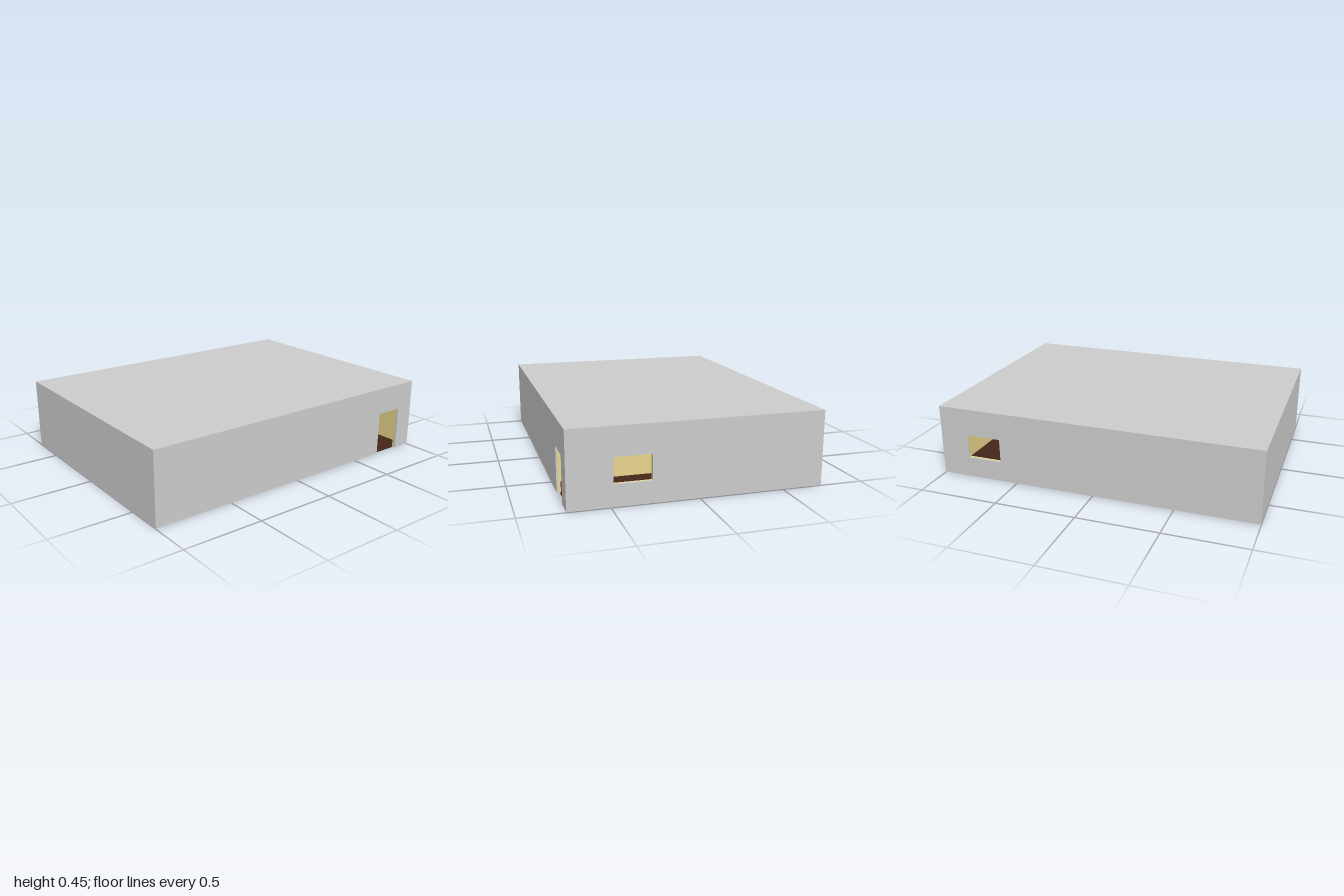
import * as THREE from 'three';

const W = 1.48, D = 2, H = 0.447, BASE = 0.003, T = 0.012;

const grey = new THREE.MeshStandardMaterial({ color: 0xcccccc });
const tan = new THREE.MeshStandardMaterial({ color: 0xe8d48a });
const brown = new THREE.MeshStandardMaterial({ color: 0x452619 });

// Upright panel with one optional opening [x0, x1, y0, y1]; y0 = 0 makes a doorway.
function panel(width, height, depth, opening) {
  const s = new THREE.Shape();
  s.moveTo(-width / 2, 0);
  if (opening && opening[2] === 0) {
    const [x0, x1, , y1] = opening;
    s.lineTo(x0, 0).lineTo(x0, y1).lineTo(x1, y1).lineTo(x1, 0);
  }
  s.lineTo(width / 2, 0).lineTo(width / 2, height).lineTo(-width / 2, height).closePath();
  if (opening && opening[2] > 0) {
    const [x0, x1, y0, y1] = opening;
    const hole = new THREE.Path();
    hole.moveTo(x0, y0).lineTo(x0, y1).lineTo(x1, y1).lineTo(x1, y0).closePath();
    s.holes.push(hole);
  }
  return new THREE.ExtrudeGeometry(s, { depth, bevelEnabled: false });
}

export function createModel() {
  const house = new THREE.Group();
  house.name = 'house';

  const add = (name, geometry, material, x, y, z, turn = 0) => {
    const mesh = new THREE.Mesh(geometry, material);
    mesh.name = name;
    mesh.position.set(x, y, z);
    mesh.rotation.y = turn;
    house.add(mesh);
  };

  const walls = [
    { name: 'front', turn: 0, side: false },
    { name: 'back', turn: Math.PI, side: false, opening: [-0.485, -0.27, 0.127, 0.275] },
    { name: 'doorSide', turn: Math.PI / 2, side: true, opening: [0.7, 0.88, 0, 0.275] },
    { name: 'windowSide', turn: -Math.PI / 2, side: true, opening: [-0.82, -0.6, 0.127, 0.275] },
  ];

  // Outer walls with a tan lining behind each
  const ceiling = 0.415;
  for (const { name, turn, side, opening } of walls) {
    for (const layer of [0, 1]) {
      const inset = layer * T;
      const width = side ? D - 2 * inset : W - 2 * inset - 2 * T;
      const height = (layer ? ceiling : H - T) - BASE;
      const out = (side ? W : D) / 2 - inset - T;
      add(name + (layer ? 'Lining' : 'Wall'), panel(width, height, T, opening),
        layer ? tan : grey, Math.sin(turn) * out, BASE, Math.cos(turn) * out, turn);
    }
  }

  // Flat roof and ceiling
  add('roof', new THREE.BoxGeometry(W, T, D), grey, 0, H - T / 2, 0);
  add('ceiling', new THREE.BoxGeometry(W - 2 * T, 0.01, D - 2 * T), tan, 0, ceiling + 0.005, 0);

  // Partition between the two rooms, with a doorway
  add('partition', panel(W - 4 * T, ceiling - BASE, 0.02, [-0.43, -0.26, 0, 0.275]),
    tan, 0, BASE, -0.52);

  // Thin floor, laid slightly off centre
  add('floor', new THREE.BoxGeometry(1.455, BASE, 1.975), brown, -0.006, BASE / 2, 0.006);

  return house;
}
